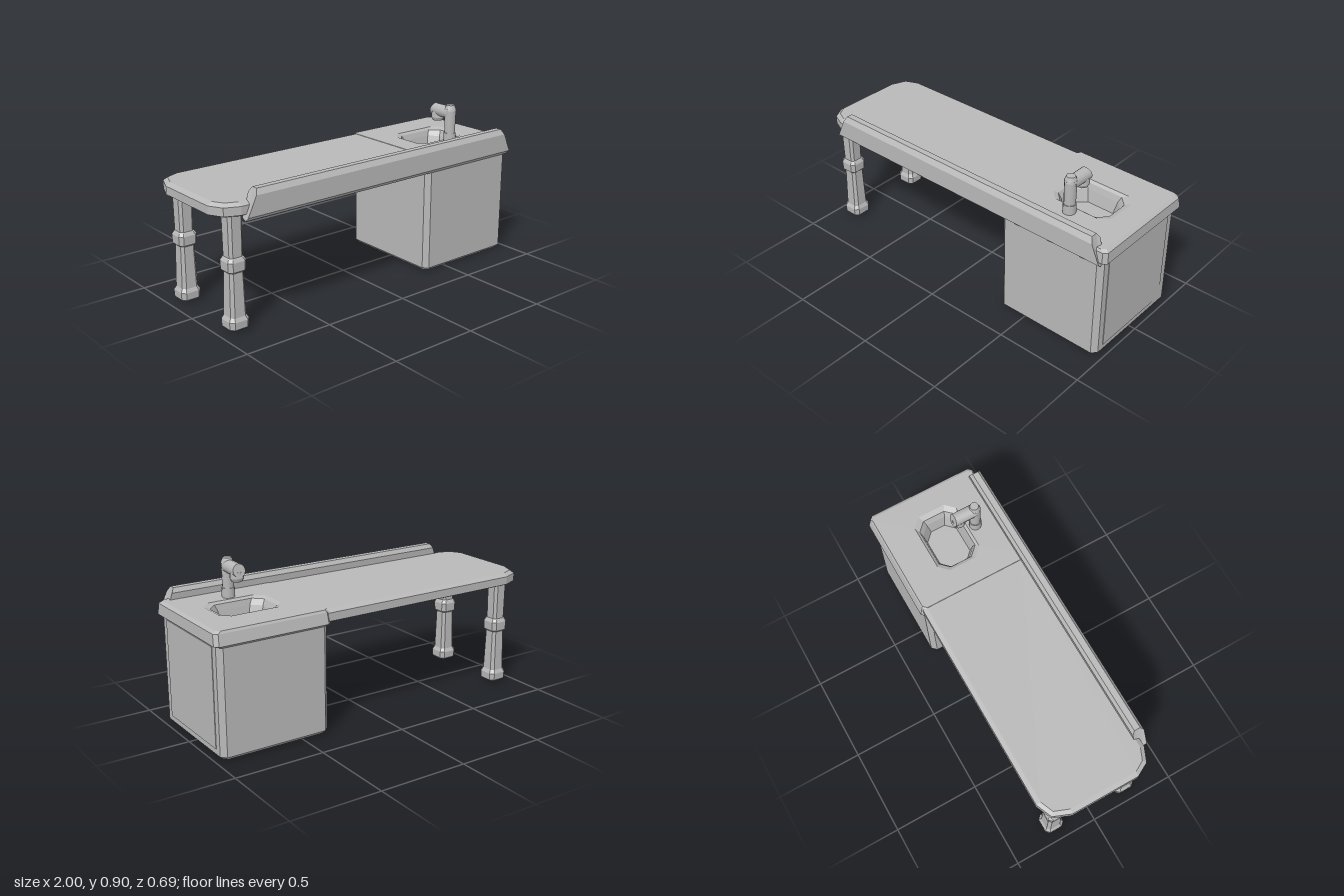
import * as THREE from 'three';

// Skin through matching rings (each counter-clockwise seen from the end of the path).
function loft(rings, capStart = true, capEnd = true) {
  const pos = [];
  const tri = (a, b, c) => pos.push(...a, ...b, ...c);
  const n = rings[0].length;
  for (let r = 0; r + 1 < rings.length; r++) {
    const lo = rings[r], hi = rings[r + 1];
    for (let i = 0; i < n; i++) {
      const j = (i + 1) % n;
      tri(lo[i], lo[j], hi[j]);
      tri(lo[i], hi[j], hi[i]);
    }
  }
  const first = rings[0], last = rings[rings.length - 1];
  for (let i = 1; i + 1 < n; i++) {
    if (capStart) tri(first[0], first[i + 1], first[i]);
    if (capEnd) tri(last[0], last[i], last[i + 1]);
  }
  const g = new THREE.BufferGeometry();
  g.setAttribute('position', new THREE.Float32BufferAttribute(pos, 3));
  g.computeVertexNormals();
  return g;
}

// Horizontal rectangle with cut corners.
function rect(x0, x1, z0, z1, c, y) {
  return [
    [x1 - c, y, z1], [x1, y, z1 - c], [x1, y, z0 + c], [x1 - c, y, z0],
    [x0 + c, y, z0], [x0, y, z0 + c], [x0, y, z1 - c], [x0 + c, y, z1],
  ];
}

export function createModel() {
  const model = new THREE.Group();
  model.name = 'sinkCounter';
  const grey = new THREE.MeshStandardMaterial({ color: 0xb8b8b8 });
  grey.name = 'grey';
  const add = (name, geometry, parent = model) => {
    const mesh = new THREE.Mesh(geometry, grey);
    mesh.name = name;
    parent.add(mesh);
    return mesh;
  };

  // Cabinet, open at the top so the basin can hang inside
  add('cabinet', loft([
    rect(0.36, 0.95, -0.30, 0.30, 0.02, 0),
    rect(0.34, 0.972, -0.32, 0.32, 0.027, 0.02),
    rect(0.34, 0.972, -0.32, 0.32, 0.027, 0.61),
  ], true, false));
  const panel = add('sidePanel', new THREE.BoxGeometry(0.006, 0.54, 0.51));
  panel.position.set(0.972, 0.32, 0);

  // Sink top: underside, rim, deck, then down into the basin
  add('sinkTop', loft([
    rect(0.37, 0.94, -0.29, 0.29, 0.03, 0.605),
    rect(0.35, 0.97, -0.325, 0.31, 0.02, 0.597),
    rect(0.335, 0.997, -0.344, 0.325, 0.02, 0.612),
    rect(0.338, 0.993, -0.33, 0.32, 0.02, 0.672),
    rect(0.345, 0.975, -0.322, 0.31, 0.02, 0.684),
    rect(0.48, 0.85, -0.14, 0.12, 0.05, 0.684),
    rect(0.50, 0.82, -0.125, 0.105, 0.05, 0.672),
    rect(0.515, 0.805, -0.115, 0.098, 0.05, 0.64),
    rect(0.53, 0.79, -0.10, 0.085, 0.05, 0.57),
  ], false, true));

  // Worktop with two-step rounded corners at its free end
  const slab = (d, y) => [
    [0.35, y, 0.31 - d], [0.35, y, -0.328 + d], [-0.87, y, -0.328 + d],
    [-0.96 + d * 0.7, y, -0.29 + d * 0.7], [-1 + d, y, -0.19],
    [-1 + d, y, 0.20], [-0.96 + d * 0.7, y, 0.275 - d * 0.7], [-0.88, y, 0.31 - d],
  ];
  add('worktop', loft([slab(0.04, 0.603), slab(0, 0.62), slab(0, 0.665), slab(0.025, 0.682)]));

  // Raised lip along the front, with sloped ends: [z, y, left end x, right end x]
  const lip = [
    [0.32, 0.587, -0.865, 0.965], [0.285, 0.597, -0.86, 0.96],
    [0.275, 0.72, -0.815, 0.925], [0.29, 0.744, -0.80, 0.91],
    [0.325, 0.744, -0.80, 0.91], [0.344, 0.715, -0.815, 0.925],
    [0.344, 0.61, -0.865, 0.972],
  ];
  add('frontLip', loft([lip.map(p => [p[2], p[1], p[0]]), lip.map(p => [p[3], p[1], p[0]])]));

  // Legs: foot, lower shaft, middle band, upper shaft as [half width, y]
  const legProfile = [
    [0.045, 0.01], [0.056, 0.02], [0.058, 0.06], [0.05, 0.075], [0.047, 0.08],
    [0.041, 0.315], [0.052, 0.325], [0.054, 0.375], [0.045, 0.39], [0.04, 0.395],
    [0.042, 0.615],
  ];
  for (const [name, z] of [['frontLeg', 0.235], ['backLeg', -0.225]]) {
    const leg = add(name, loft(legProfile.map(([w, y]) => rect(-w, w, -w, w, w * 0.35, y))));
    leg.position.set(-0.89, 0, z);
  }

  // Tap: collar, riser, rounded elbow, slant-ended arm and spout
  const tap = new THREE.Group();
  tap.name = 'tap';
  tap.position.set(0.655, 0, 0.165);
  model.add(tap);
  const tube = (name, rTop, rBottom, y0, y1, z = 0) => {
    const mesh = add(name, new THREE.CylinderGeometry(rTop, rBottom, y1 - y0, 12), tap);
    mesh.position.set(0, (y0 + y1) / 2, z);
  };
  tube('tapCollar', 0.035, 0.035, 0.675, 0.737);
  tube('tapRiser', 0.033, 0.031, 0.737, 0.875);
  tube('tapCap', 0.024, 0.035, 0.868, 0.898);
  const arm = new THREE.CylinderGeometry(0.036, 0.036, 0.13, 12).rotateX(Math.PI / 2);
  const p = arm.attributes.position;
  for (let i = 0; i < p.count; i++) {
    if (p.getZ(i) < 0) p.setZ(i, p.getZ(i) + p.getY(i) * 0.25);
  }
  arm.computeVertexNormals();
  add('tapArm', arm, tap).position.set(0, 0.853, -0.065);
  tube('tapSpout', 0.036, 0.038, 0.81, 0.845, -0.1);
  tube('spoutTip', 0.038, 0.029, 0.792, 0.81, -0.1);

  return model;
}
